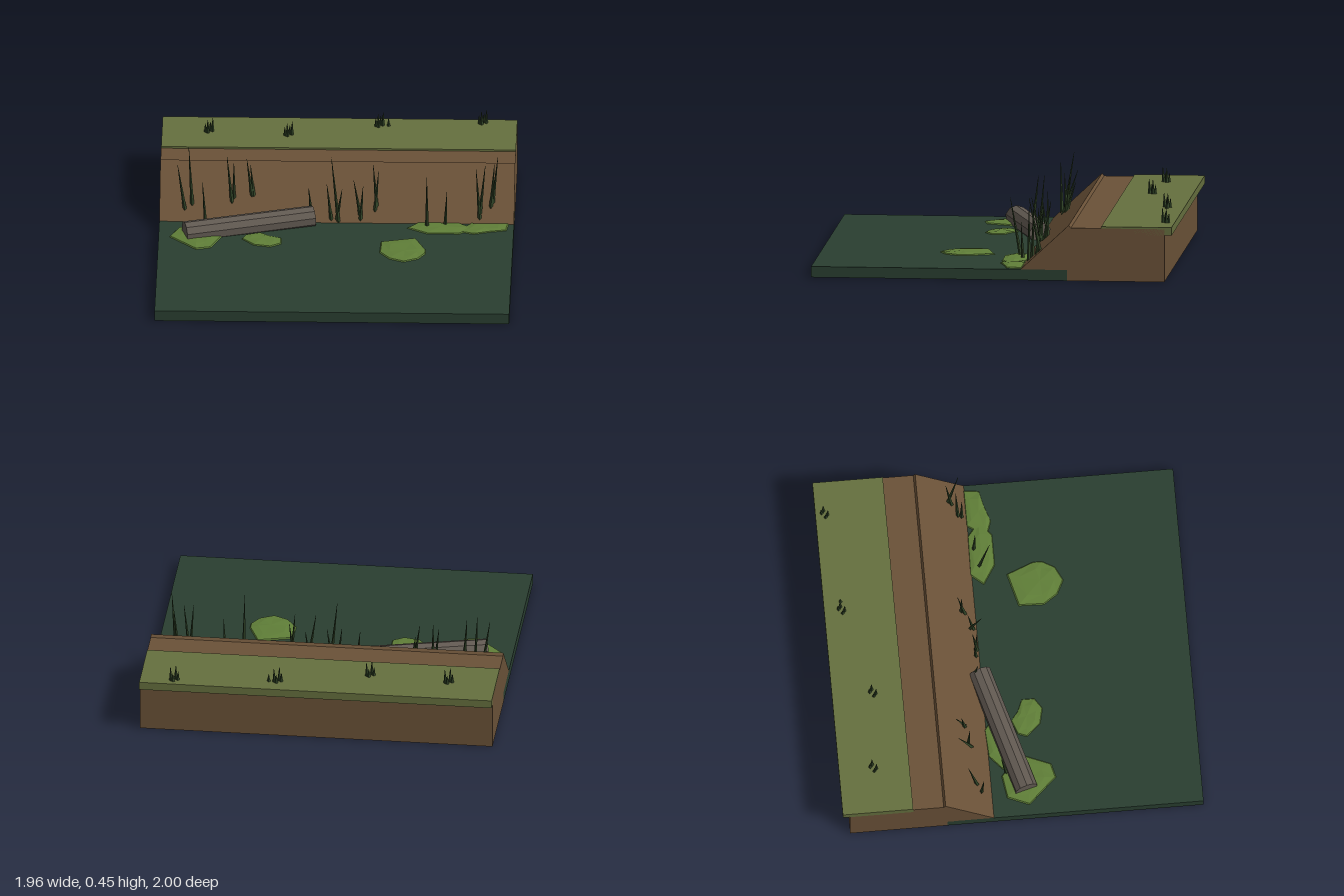
import * as THREE from 'three';

const mat = (color, extra = {}) => new THREE.MeshStandardMaterial({ color, flatShading: true, ...extra });
const WATER = mat(0x2a3f31), SOIL = mat(0x6b5238), GRASS = mat(0x66703f), LOG = mat(0x625a52);
const BLADE = mat(0x2f4226, { side: THREE.DoubleSide }), MOSS = mat(0x607f38, { side: THREE.DoubleSide });

const WATER_Y = 0.06, TURF_Y = 0.305, HALF = 0.98;
const SLOPE = { z0: -0.16, z1: -0.43, y1: 0.31 };

function add(parent, name, geometry, material) {
  const mesh = new THREE.Mesh(geometry, material);
  mesh.name = name;
  parent.add(mesh);
  return mesh;
}

// Full-width box given by its y and z limits
function slab(parent, name, y0, y1, z0, z1, material) {
  add(parent, name, new THREE.BoxGeometry(HALF * 2, y1 - y0, z1 - z0), material)
    .position.set(0, (y0 + y1) / 2, (z0 + z1) / 2);
}

// Tapered rod from a to b
function rod(parent, name, a, b, r0, r1, sides, material) {
  const dir = b.clone().sub(a);
  const mesh = add(parent, name, new THREE.CylinderGeometry(r1, r0, dir.length(), sides), material);
  mesh.position.copy(a).add(b).multiplyScalar(0.5);
  mesh.quaternion.setFromUnitVectors(new THREE.Vector3(0, 1, 0), dir.normalize());
}

// Height of the ground under a point of the bank or water
function groundY(z) {
  const t = THREE.MathUtils.clamp((z - SLOPE.z0) / (SLOPE.z1 - SLOPE.z0), 0, 1);
  return THREE.MathUtils.lerp(WATER_Y, SLOPE.y1, t);
}

// Low dome over an outline of [x, z] points: rim, inner ring, crown
function mossPatch(outline) {
  const n = outline.length;
  const cx = outline.reduce((s, p) => s + p[0], 0) / n;
  const cz = outline.reduce((s, p) => s + p[1], 0) / n;
  const pos = [], index = [];
  [[1, 0.06], [0.96, 0.066], [0.6, 0.07]].forEach(([s, y], ring) => outline.forEach(([x, z], i) =>
    pos.push(cx + (x - cx) * s, y + (ring === 2 ? 0.003 * (i % 2) : 0), cz + (z - cz) * s)));
  pos.push(cx, 0.073, cz);
  for (let i = 0; i < n; i++) {
    const j = (i + 1) % n;
    for (let r = 0; r < 2; r++) {
      const a = r * n + i, b = r * n + j;
      index.push(a, a + n, b, b, a + n, b + n);
    }
    index.push(2 * n + i, 3 * n, 2 * n + j);
  }
  const g = new THREE.BufferGeometry();
  g.setAttribute('position', new THREE.Float32BufferAttribute(pos, 3));
  g.setIndex(index);
  g.computeVertexNormals();
  return g;
}

export function createModel() {
  const model = new THREE.Group();
  model.name = 'swampBank';

  // Water, earth block and turf
  slab(model, 'water', 0, WATER_Y, -0.42, 1, WATER);
  slab(model, 'earthBlock', 0, 0.295, -0.96, -0.42, SOIL);
  slab(model, 'turf', 0.26, TURF_Y, -1, -0.61, GRASS);

  // Sloping bank with a small lip above the block
  const profile = new THREE.Shape([[SLOPE.z0, 0.058], [SLOPE.z1, SLOPE.y1], [SLOPE.z1 - 0.012, 0.294], [-0.425, 0.058]]
    .map(([z, y]) => new THREE.Vector2(z, y)));
  const bank = new THREE.ExtrudeGeometry(profile, { depth: HALF * 2, bevelEnabled: false });
  bank.translate(0, 0, -HALF).rotateY(-Math.PI / 2);
  add(model, 'bank', bank, SOIL);

  // Half-sunken log
  rod(model, 'log', new THREE.Vector3(-0.835, 0.08, 0.03), new THREE.Vector3(-0.13, 0.093, -0.17),
    0.065, 0.063, 10, LOG);

  // Moss patches floating on the water
  const moss = new THREE.Group();
  moss.name = 'mossPatches';
  model.add(moss);
  [
    [[-0.92, 0.04], [-0.87, -0.08], [-0.74, -0.1], [-0.62, 0.01], [-0.69, 0.18], [-0.77, 0.2]],
    [[-0.7, -0.09], [-0.62, -0.16], [-0.46, -0.17], [-0.4, -0.12], [-0.52, -0.03], [-0.63, 0]],
    [[-0.52, 0.06], [-0.5, 0.01], [-0.42, -0.02], [-0.37, 0.02], [-0.3, 0.05], [-0.3, 0.12], [-0.36, 0.16], [-0.45, 0.14]],
    [[0.245, 0.22], [0.25, 0.08], [0.44, 0.03], [0.5, 0.18], [0.5, 0.23], [0.46, 0.3], [0.38, 0.34], [0.3, 0.3]],
    [[0.39, -0.1], [0.45, -0.17], [0.68, -0.165], [0.76, -0.1], [0.68, -0.03], [0.5, -0.03]],
    [[0.67, -0.06], [0.74, -0.165], [0.95, -0.165], [0.94, -0.08], [0.85, -0.06], [0.76, -0.03]],
  ].forEach((outline) => add(moss, 'mossPatch', mossPatch(outline), MOSS));

  // Reeds along the shore: base x, base z, tip x, tip y, tip z
  const reeds = new THREE.Group();
  reeds.name = 'reeds';
  model.add(reeds);
  [
    [-0.84, -0.22, -0.88, 0.38, -0.21], [-0.8, -0.24, -0.82, 0.45, -0.29], [-0.72, -0.07, -0.74, 0.33, -0.1],
    [-0.58, -0.25, -0.61, 0.38, -0.33], [-0.57, -0.27, -0.57, 0.37, -0.26], [-0.47, -0.28, -0.5, 0.38, -0.3],
    [-0.46, -0.28, -0.48, 0.33, -0.33], [-0.14, -0.2, -0.155, 0.26, -0.18], [-0.03, -0.18, -0.055, 0.28, -0.19],
    [0.01, -0.17, -0.03, 0.44, -0.2], [0, -0.18, 0.03, 0.26, -0.17], [0.13, -0.2, 0.095, 0.33, -0.14],
    [0.13, -0.18, 0.145, 0.26, -0.21], [0.22, -0.24, 0.2, 0.38, -0.24], [0.21, -0.22, 0.23, 0.33, -0.26],
    [0.5, -0.12, 0.5, 0.39, -0.06], [0.6, -0.14, 0.61, 0.27, -0.13], [0.79, -0.19, 0.77, 0.38, -0.19],
    [0.79, -0.21, 0.82, 0.39, -0.22], [0.86, -0.26, 0.89, 0.45, -0.2], [0.85, -0.24, 0.87, 0.38, -0.27],
  ].forEach(([x, z, tx, ty, tz]) => rod(reeds, 'reed', new THREE.Vector3(x, groundY(z) - 0.01, z),
    new THREE.Vector3(tx, ty, tz), 0.011, 0.001, 4, BLADE));

  // Short grass tufts on the turf
  const tufts = new THREE.Group();
  tufts.name = 'grassTufts';
  model.add(tufts);
  [[-0.72, -0.81], [-0.28, -0.775], [0.22, -0.905], [0.27, -0.895], [0.79, -0.95]].forEach(([x, z], t) => {
    const count = t === 3 ? 1 : 4;
    for (let i = 0; i < count; i++) {
      const k = count === 1 ? 0 : i - 1.5, side = i % 2 ? 0.01 : -0.01;
      rod(tufts, 'grassBlade', new THREE.Vector3(x + k * 0.012, TURF_Y - 0.005, z - k * 0.01 + side),
        new THREE.Vector3(x + k * 0.014, count === 1 ? 0.35 : 0.37 + side * 1.5, z - k * 0.012 + side * 1.3), 0.011, 0.001, 4, BLADE);
    }
  });

  return model;
}
